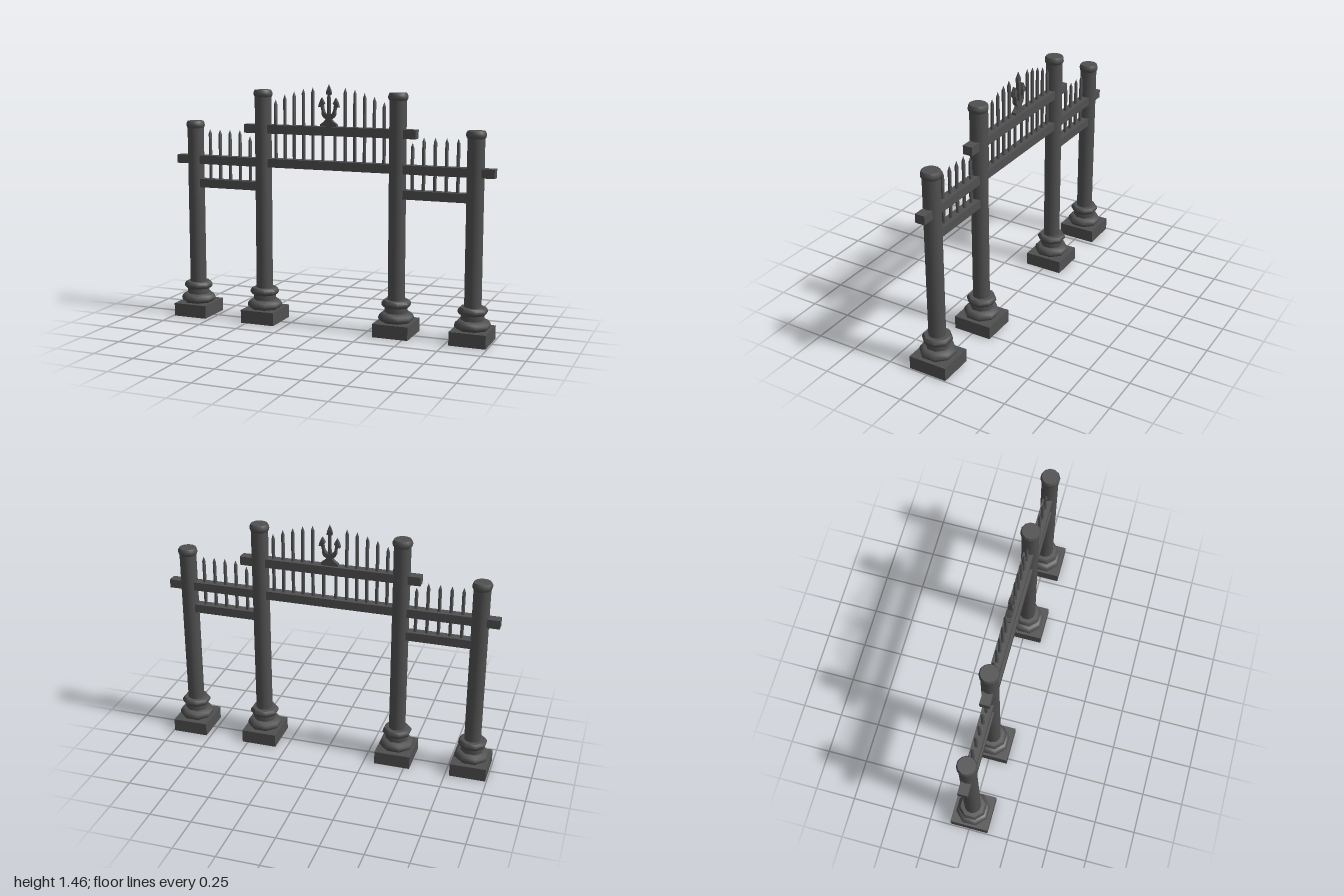
import * as THREE from 'three';
import { toCreasedNormals } from 'three/addons/utils/BufferGeometryUtils.js';

const iron = new THREE.MeshStandardMaterial({ color: 0x505050 });
const ironOpen = new THREE.MeshStandardMaterial({ color: 0x505050, side: THREE.DoubleSide });

function add(parent, name, geometry, x = 0, y = 0, z = 0, material = iron) {
  const mesh = new THREE.Mesh(geometry, material);
  mesh.name = name;
  mesh.position.set(x, y, z);
  parent.add(mesh);
  return mesh;
}

// Turned shape from [radius, height] pairs, flats facing the axes
function turned(profile, sides) {
  const points = profile.map(([r, y]) => new THREE.Vector2(r, y));
  return toCreasedNormals(new THREE.LatheGeometry(points, sides, Math.PI / sides), 0.9);
}

// Plinth block, hollow underneath
function plinthGeometry() {
  const g = new THREE.BoxGeometry(0.216, 0.08, 0.236);
  const index = Array.from(g.index.array);
  index.splice(18, 6); // drop the bottom face
  g.setIndex(index);
  return g;
}

function makeColumn(name, x, height) {
  const column = new THREE.Group();
  column.name = name;
  column.position.x = x;
  add(column, 'plinth', plinthGeometry(), 0, 0.04, 0, ironOpen);
  // Two stacked rounded rings with a neck between them
  add(column, 'baseMoulding', turned([
    [0.09, 0.08], [0.104, 0.092], [0.106, 0.103], [0.1, 0.12], [0.086, 0.134],
    [0.068, 0.134], [0.068, 0.165], [0.078, 0.167], [0.087, 0.18], [0.087, 0.192],
    [0.076, 0.208], [0.045, 0.21],
  ], 8), 0, 0, 0);
  add(column, 'shaft', new THREE.CylinderGeometry(0.05, 0.05, height - 0.22, 16, 1, true), 0, (height + 0.18) / 2, 0);
  add(column, 'cap', turned([
    [0.048, -0.046], [0.055, -0.037], [0.058, -0.026], [0.057, -0.014], [0.05, 0], [0, 0],
  ], 12), 0, height, 0);
  return column;
}

// Thin bar with a pointed tip
function addPicket(parent, x, bottom, top) {
  const r = 0.01, tip = 0.03;
  add(parent, 'picket', turned([
    [r, bottom], [r, top - tip], [0, top],
  ], 8), x);
}

// Three-pronged finial, half outline mirrored
function tridentGeometry() {
  const half = [
    [0.05, 1.2], [0.05, 1.222], [0.028, 1.238], [0.017, 1.252], [0.034, 1.264],
    [0.042, 1.28], [0.042, 1.298], [0.048, 1.324], [0.064, 1.322], [0.056, 1.35],
    [0.044, 1.376], [0.027, 1.342], [0.036, 1.335], [0.031, 1.304], [0.022, 1.286],
    [0.008, 1.28], [0.007, 1.395], [0.017, 1.395], [0.013, 1.418],
  ];
  const mirrored = half.map(([x, y]) => [-x, y]).reverse();
  const shape = new THREE.Shape([...half, [0, 1.455], ...mirrored].map(([x, y]) => new THREE.Vector2(x, y)));
  const g = new THREE.ExtrudeGeometry(shape, { depth: 0.026, bevelEnabled: false });
  g.translate(0, 0, -0.013);
  // Thin the spear heads towards their tips
  const p = g.attributes.position;
  for (let i = 0; i < p.count; i++) {
    if (p.getY(i) > 1.37) p.setZ(i, p.getZ(i) * (p.getY(i) > 1.43 ? 0.1 : 0.7));
  }
  g.computeVertexNormals();
  return g;
}

export function createModel() {
  const gate = new THREE.Group();
  gate.name = 'gateway';

  // Rails
  add(gate, 'middleRail', new THREE.BoxGeometry(2, 0.052, 0.058), 0, 0.979, 0);
  add(gate, 'topRail', new THREE.BoxGeometry(1.08, 0.052, 0.058), 0, 1.182, 0);

  const pickets = new THREE.Group();
  pickets.name = 'pickets';
  gate.add(pickets);

  const archTops = [1.437, 1.428, 1.41, 1.39, 1.36];
  for (const [side, s] of [['left', 1], ['right', -1]]) {
    gate.add(makeColumn(side + 'InnerColumn', s * 0.425, 1.415));
    gate.add(makeColumn(side + 'OuterColumn', s * 0.885, 1.215));
    add(gate, side + 'LowerRail', new THREE.BoxGeometry(0.44, 0.052, 0.058), s * 0.655, 0.834, 0);

    // Central pickets rise in an arch through both rails
    archTops.forEach((top, i) => addPicket(pickets, s * (0.102 + 0.06 * i), 0.98, top));
    // Short bars below the finial
    add(pickets, 'shortBar', new THREE.CylinderGeometry(0.01, 0.01, 0.19, 8, 1, true), s * 0.037, 1.08, 0);
    // Side pickets, the one by the inner column shorter
    for (let i = 0; i < 5; i++) addPicket(pickets, s * (0.514 + 0.0675 * i), 0.84, i === 0 ? 1.135 : 1.168);
  }

  add(gate, 'tridentFinial', tridentGeometry());
  return gate;
}
